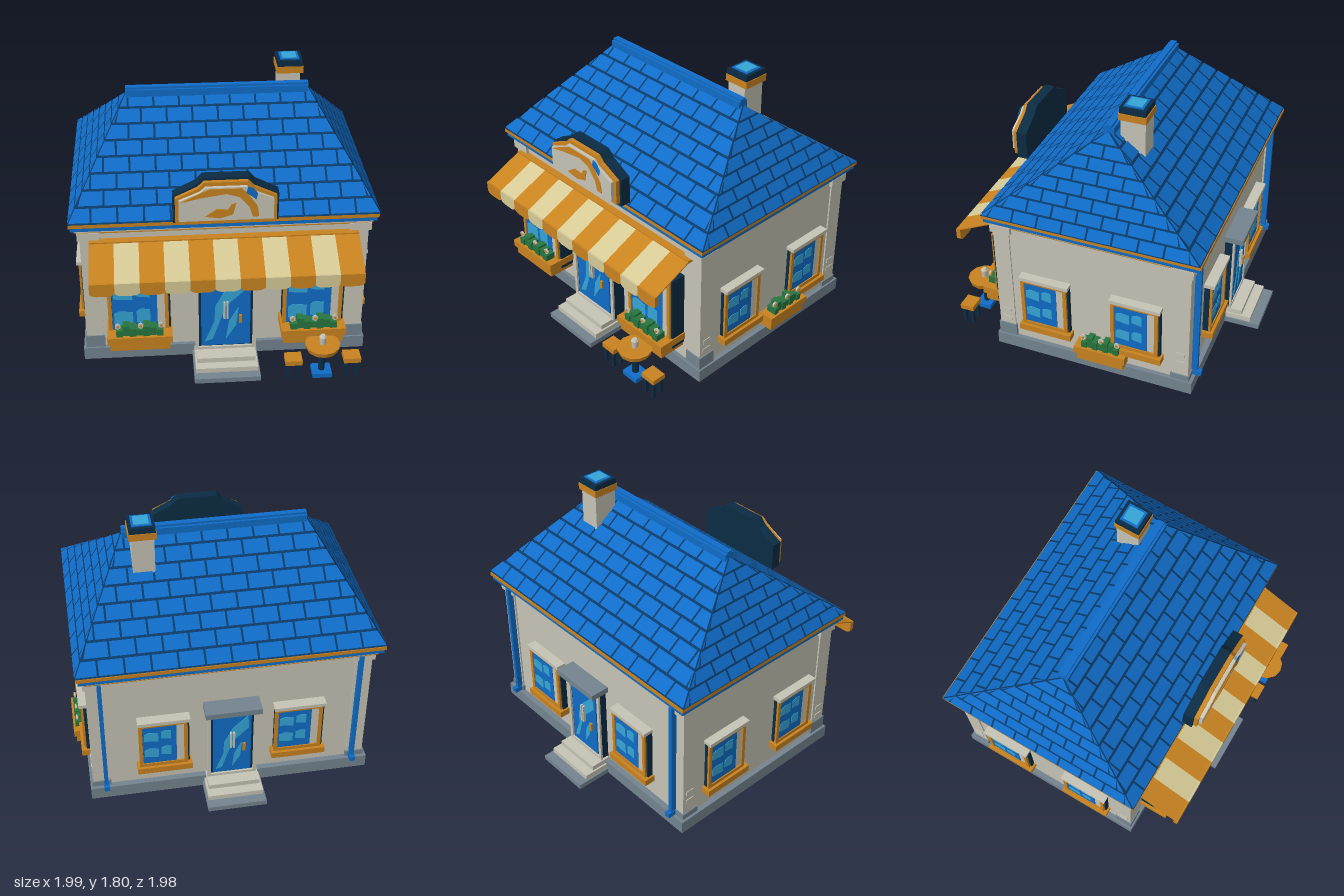
import * as THREE from 'three';
import { ConvexGeometry } from 'three/addons/geometries/ConvexGeometry.js';

const mat = (name, color) => Object.assign(new THREE.MeshStandardMaterial({ color }), { name });
const M = {
  wall: mat('plaster cream', 0xc6c4b5),
  cream: mat('awning cream', 0xd6ca96),
  orange: mat('ochre wood', 0xc98320),
  blue: mat('bright blue', 0x0f6cc8),
  gap: mat('tile gap blue', 0x0a3a68),
  navy: mat('dark navy', 0x0b2c44),
  glint: mat('glass highlight', 0x35a5d6),
  stone: mat('grey stone', 0x74848f),
  green: mat('leaf green', 0x27753f),
};

function add(parent, name, geo, material, x = 0, y = 0, z = 0) {
  const m = new THREE.Mesh(geo, material);
  m.name = name;
  m.position.set(x, y, z);
  parent.add(m);
  return m;
}
// Box given by its two limits on each axis
const box = (p, name, material, x0, x1, y0, y1, z0, z1) =>
  add(p, name, new THREE.BoxGeometry(x1 - x0, y1 - y0, z1 - z0), material, (x0 + x1) / 2, (y0 + y1) / 2, (z0 + z1) / 2);
const shapeOf = (pts) => new THREE.Shape(pts.map(([x, y]) => new THREE.Vector2(x, y)));
const plate = (p, name, material, pts, z, depth = 0.004) =>
  add(p, name, new THREE.ExtrudeGeometry(shapeOf(pts), { depth, bevelEnabled: false }), material, 0, 0, z);
function group(parent, name, x = 0, y = 0, z = 0, turn = 0) {
  const g = new THREE.Group();
  g.name = name;
  g.position.set(x, y, z);
  g.rotation.y = turn;
  parent.add(g);
  return g;
}
// Rectangular frame with a rectangular opening
function frame(p, name, material, x0, x1, y0, y1, t, z, depth) {
  const s = shapeOf([[x0, y0], [x1, y0], [x1, y1], [x0, y1]]);
  s.holes.push(shapeOf([[x0 + t, y0 + t], [x0 + t, y1 - t], [x1 - t, y1 - t], [x1 - t, y0 + t]]));
  add(p, name, new THREE.ExtrudeGeometry(s, { depth, bevelEnabled: false }), material, 0, 0, z);
}

// Window on a wall: local +z points out of the wall
function windowUnit(parent, name, x, z, turn, w, y0, y1, d, trim) {
  const g = group(parent, name, x, 0, z, turn), h = w / 2;
  box(g, 'casing', M.navy, -h + 0.005, h, y0, y1, 0, d);
  frame(g, 'frame', M.orange, -h, h - 0.012, y0, y1, 0.024, d, 0.016);
  box(g, 'reveal', M.wall, h - 0.09, h - 0.036, y0 + 0.02, y1 - 0.02, d, d + 0.006);
  const a = -h + 0.026, b = h - 0.085, gw = b - a, gh = y1 - y0;
  box(g, 'glass', M.blue, a, b, y0 + 0.02, y1 - 0.02, d, d + 0.009);
  for (const v of [0.2, 0.58]) {
    for (const [u0, u1, k] of [[0.04, 0.46, 0], [0.54, 0.84, 0.03]]) {
      const l = a + u0 * gw, r = a + u1 * gw, q = y0 + (v + k) * gh;
      plate(g, 'glassHighlight', M.glint,
        [[l, q + 0.01], [r, q], [r, q + 0.2 * gh], [l + 0.03, q + 0.22 * gh], [l, q + 0.18 * gh]], d + 0.009, 0.003);
    }
  }
  if (trim) {
    box(g, 'lintel', M.wall, -h - 0.005, h + 0.005, y1, y1 + 0.025, 0, d + 0.03);
    box(g, 'sill', M.orange, -h - 0.015, h + 0.015, y0 - 0.045, y0, 0, d + 0.035);
  }
}

// Flower box with leaves and blossoms
function planter(parent, x, y, z, turn, w, d) {
  const g = group(parent, 'planter', x, y, z, turn), h = w / 2;
  box(g, 'planterBody', M.orange, -h + 0.015, h - 0.015, 0, 0.07, 0, d - 0.015);
  box(g, 'planterRim', M.orange, -h, h, 0.06, 0.11, 0, d);
  const n = 7, span = w * 0.72;
  for (let i = 0; i < n; i++) {
    const px = -span / 2 + span * (i + 0.5) / n, top = 0.045 + 0.03 * ((i * 2) % 3) / 2;
    box(g, 'leaves', M.green, px - span / n / 2, px + span / n / 2, 0.1, 0.11 + top, d - 0.085, d - 0.015 - 0.01 * (i % 2));
  }
  for (const u of [-0.33, 0.02, 0.33]) {
    const f = group(g, 'flower', u * w, 0.185, d - 0.03);
    add(f, 'petals', new THREE.CylinderGeometry(0.021, 0.021, 0.012, 6).rotateX(Math.PI / 2), M.wall);
    add(f, 'flowerCentre', new THREE.CylinderGeometry(0.009, 0.009, 0.02, 6).rotateX(Math.PI / 2), M.orange);
  }
}

// Door with frame, streaked glass and handles
function door(parent, name, x, z, turn, w, top, d) {
  const g = group(parent, name, x, 0, z, turn), h = w / 2;
  box(g, 'doorCasing', M.navy, -h - 0.02, h + 0.02, 0.09, top, 0, d);
  frame(g, 'doorFrame', M.wall, -h - 0.03, h + 0.03, 0.1, top, 0.024, d, 0.014);
  box(g, 'doorLeaf', M.blue, -h + 0.01, h - 0.01, 0.135, top - 0.03, d, d + 0.01);
  const H = top - 0.16, q = (u, v) => [u * w, 0.14 + v * H];
  plate(g, 'glassHighlight', M.glint, [q(-0.4, 0.05), q(-0.25, 0.08), q(0, 0.5), q(0.4, 0.72), q(0.38, 0.92), q(0, 0.72), q(-0.2, 0.5), q(-0.22, 0.3)], d + 0.01);
  plate(g, 'glassHighlight', M.glint, [q(0, 0.07), q(0.2, 0.25), q(0.24, 0.48), q(0.06, 0.3)], d + 0.01);
  for (const s of [-0.017, 0.003]) box(g, 'doorHandle', M.wall, s, s + 0.012, 0.36, 0.49, d, d + 0.03);
  box(g, 'doorLatch', M.orange, h * 0.5, h * 0.5 + 0.02, 0.32, 0.38, d, d + 0.025);
}

// Rows of staggered tiles on a sloping face; corners run left to right seen from outside
function tiles(parent, el, er, rl, rr) {
  const [A, B, C, D] = [el, er, rl, rr].map((p) => new THREE.Vector3(...p));
  const dir = B.clone().sub(A).normalize(), along = (P) => P.clone().sub(A).dot(dir);
  const up = C.clone().sub(A).addScaledVector(dir, -along(C));
  const n = dir.clone().cross(up).normalize().multiplyScalar(0.008);
  const L = along(B), cl = along(C), cr = along(D), pos = [], rows = 8, step = 0.165;
  const at = (s, v) => A.clone().addScaledVector(dir, THREE.MathUtils.clamp(s, cl * v, L + (cr - L) * v)).addScaledVector(up, v).add(n);
  for (let r = 0; r < rows; r++) {
    const v0 = (r + 0.08) / rows, v1 = (r + 0.93) / rows;
    for (let s = L / 2 - step * (8 + 0.5 * (r % 2)); s < L; s += step) {
      const e = s + step - 0.013;
      const a = at(s, v0), b = at(e, v0), c = at(e, v1), d = at(s, v1);
      if (a.distanceTo(b) + c.distanceTo(d) < 0.002) continue;
      for (const p of [a, b, c, a, c, d]) pos.push(p.x, p.y, p.z);
    }
  }
  const geo = new THREE.BufferGeometry();
  geo.setAttribute('position', new THREE.Float32BufferAttribute(pos, 3));
  geo.computeVertexNormals();
  add(parent, 'roofTiles', geo, M.blue);
}

export function createModel() {
  const root = new THREE.Group();
  root.name = 'cafe';
  const cx = -0.015;

  // Walls, plinth and corner pilasters
  box(root, 'plinth', M.stone, -0.955, 0.92, 0, 0.09, -0.75, 0.62);
  box(root, 'walls', M.wall, -0.92, 0.89, 0.09, 1.0, -0.71, 0.595);
  for (const sx of [-1, 1]) for (const [z, sz] of [[0.545, 1], [-0.665, -1]]) {
    const x = cx + sx * 0.86;
    box(root, 'pilaster', M.wall, x - 0.055, x + 0.055, 0.09, 0.99, z - 0.055, z + 0.055);
    box(root, 'pilasterFoot', M.stone, x - 0.063, x + 0.063, 0.09, sz > 0 ? 0.18 : 0.13, z - 0.063, z + 0.063);
    box(root, 'pilasterCapital', M.wall, x - 0.07, x + 0.07, 0.935, 0.99, z - 0.07, z + 0.07);
    for (const y of [0.21, 0.28]) box(root, 'cornerBlock', M.wall, x - 0.06, x + 0.06, y, y + 0.03, z - 0.03, z + 0.03);
  }

  // Cornice and eaves layers
  const layers = [[0.93, 0.985, 1.0, M.orange], [0.94, 1.0, 1.02, M.wall], [0.96, 1.02, 1.05, M.blue], [0.97, 1.05, 1.075, M.orange]];
  for (const [h, y0, y1, m] of layers) box(root, 'eavesLayer', m, -0.02 - h, -0.02 + h, y0, y1, -0.07 - (h - 0.25), -0.07 + (h - 0.25));

  // Hipped roof with tiles and ridge
  const y = 1.075, t = 1.625, zr = -0.065;
  const fl = [-0.99, y, 0.65], fr = [0.955, y, 0.65], bl = [-0.99, y, -0.785], br = [0.955, y, -0.785];
  const rl = [-0.61, t, zr], rr = [0.575, t, zr];
  add(root, 'roofCore', new ConvexGeometry([fl, fr, bl, br, rl, rr].map((p) => new THREE.Vector3(...p))), M.gap);
  tiles(root, fl, fr, rl, rr);
  tiles(root, br, bl, rr, rl);
  tiles(root, fr, br, rr, rr);
  tiles(root, bl, fl, rl, rl);
  box(root, 'ridgeCap', M.blue, -0.615, 0.575, 1.605, 1.655, -0.1, -0.03);
  box(root, 'ridgeTop', M.blue, -0.615, 0.575, 1.655, 1.67, -0.085, -0.045);

  // Chimney
  box(root, 'chimney', M.wall, 0.39, 0.53, 1.35, 1.71, -0.285, -0.125);
  box(root, 'chimneyCollar', M.orange, 0.375, 0.55, 1.705, 1.75, -0.295, -0.115);
  box(root, 'chimneyCap', M.navy, 0.38, 0.545, 1.75, 1.79, -0.29, -0.12);
  box(root, 'chimneyTop', M.blue, 0.4, 0.525, 1.79, 1.796, -0.268, -0.142);
  box(root, 'chimneyTopInset', M.glint, 0.415, 0.51, 1.796, 1.8, -0.255, -0.155);

  // Sign board in three stepped layers with a painted arch
  const sign = group(root, 'signBoard', -0.02, 1.1, 0);
  const half = [[0.325, 0], [0.325, 0.19], [0.18, 0.265], [0.14, 0.31]];
  const outline = [...half, ...half.map(([x, v]) => [-x, v]).reverse()];
  const inset = (sx, sy, dy) => outline.map(([x, v]) => [x * sx, v * sy + dy]);
  plate(sign, 'signBack', M.navy, outline, 0.635, 0.07);
  plate(sign, 'signFrame', M.orange, inset(0.955, 0.89, 0.017), 0.705, 0.028);
  plate(sign, 'signPanel', M.wall, inset(0.89, 0.74, 0.038), 0.733, 0.022);
  plate(sign, 'paintedArch', M.orange, [[-0.28, 0.172], [-0.16, 0.2], [0, 0.225], [0.08, 0.2], [0.14, 0.13], [0.16, 0.06], [0.2, 0.06], [0.19, 0.13], [0.13, 0.22], [0.09, 0.26], [-0.1, 0.26], [-0.16, 0.235]], 0.755);
  plate(sign, 'paintedPastry', M.orange, [[-0.13, 0.07], [-0.04, 0.055], [0.04, 0.08], [0.06, 0.16], [0.03, 0.15], [0.01, 0.115], [-0.06, 0.12]], 0.755);
  plate(sign, 'paintedPatch', M.blue, [[0.12, 0.23], [0.18, 0.18], [0.19, 0.22], [0.16, 0.26], [0.13, 0.27]], 0.755);

  // Striped awning with scalloped valance
  const awning = group(root, 'awning'), n = 11, sw = 1.7 / n;
  for (let i = 0; i < n; i++) {
    const x0 = -0.87 + i * sw, m = i % 2 ? M.cream : M.orange;
    const slope = add(awning, 'awningStripe', new THREE.BoxGeometry(sw, 0.008, 0.3), m, x0 + sw / 2, 0.868, 0.768);
    slope.rotation.x = Math.atan2(0.125, 0.27);
    const e = sw, s = shapeOf([[0, 0.81], [0, 0.74]]);
    s.quadraticCurveTo(e * 0.1, 0.72, e * 0.3, 0.72);
    s.lineTo(e * 0.7, 0.72);
    s.quadraticCurveTo(e * 0.9, 0.72, e, 0.74);
    s.lineTo(e, 0.81);
    add(awning, 'valanceStripe', new THREE.ExtrudeGeometry(s, { depth: 0.03, bevelEnabled: false }), m, x0, 0, 0.885);
  }
  box(awning, 'awningRail', M.orange, -0.87, 0.83, 0.92, 0.938, 0.59, 0.645);

  // Windows on all four sides
  const P = Math.PI;
  for (const x of [-0.575, 0.55]) {
    windowUnit(root, 'frontWindow', x, 0.595, 0, 0.4, 0.22, 0.76, 0.1, false);
    planter(root, x - 0.002, 0.19, 0.595, 0, 0.42, 0.205);
  }
  for (const z of [0.25, -0.37]) {
    windowUnit(root, 'rightSideWindow', 0.89, z, P / 2, 0.33, 0.255, 0.62, 0.03, true);
    windowUnit(root, 'leftSideWindow', -0.92, z, -P / 2, 0.33, 0.255, 0.62, 0.03, true);
  }
  for (const x of [-0.465, 0.425]) windowUnit(root, 'backWindow', x, -0.71, P, 0.33, 0.255, 0.62, 0.04, true);
  planter(root, 0.89, 0.11, -0.145, P / 2, 0.35, 0.105);

  // Doors, canopy and steps
  door(root, 'frontDoor', -0.018, 0.595, 0, 0.34, 0.78, 0.095);
  door(root, 'backDoor', -0.018, -0.71, P, 0.27, 0.68, 0.055);
  box(root, 'backCanopy', M.stone, -0.2, 0.165, 0.675, 0.715, -0.84, -0.71);
  for (let i = 0; i < 3; i++) {
    const m = i ? M.wall : M.stone, y0 = i * 0.035, w = 0.215 - i * 0.012;
    box(root, 'frontStep', m, -0.02 - w, -0.02 + w, y0, y0 + 0.035, 0.6, 0.92 - i * 0.06);
    box(root, 'backStep', m, -0.02 - w + 0.02, -0.02 + w - 0.02, y0, y0 + 0.035, -0.99 + i * 0.065, -0.72);
  }

  // Rear downpipes
  for (const x of [-0.85, 0.815]) {
    box(root, 'downpipe', M.blue, x - 0.013, x + 0.013, 0.1, 0.985, -0.76, -0.72);
    box(root, 'pipeFoot', M.blue, x - 0.018, x + 0.018, 0.09, 0.125, -0.785, -0.72);
  }

  // Terrace table, cup and stools
  const table = group(root, 'terraceTable', 0.595, 0, 0.875);
  add(table, 'tableTop', new THREE.CylinderGeometry(0.115, 0.105, 0.035, 12), M.orange, 0, 0.23, 0);
  add(table, 'tableLeg', new THREE.CylinderGeometry(0.022, 0.022, 0.19, 8), M.navy, 0, 0.125, 0);
  box(table, 'tableFoot', M.blue, -0.063, 0.063, 0.008, 0.04, -0.055, 0.055);
  add(table, 'cup', new THREE.CylinderGeometry(0.025, 0.02, 0.055, 8), M.wall, 0, 0.275, 0);
  add(table, 'cupLid', new THREE.CylinderGeometry(0.014, 0.024, 0.015, 8), M.wall, 0, 0.31, 0);
  for (const x of [0.405, 0.785]) {
    const stool = group(root, 'stool', x, 0, 0.895);
    box(stool, 'stoolSeat', M.orange, -0.055, 0.055, 0.13, 0.165, -0.048, 0.048);
    for (const sx of [-0.035, 0.035]) for (const sz of [-0.03, 0.03])
      box(stool, 'stoolLeg', M.navy, sx - 0.01, sx + 0.01, 0.01, 0.13, sz - 0.01, sz + 0.01);
  }
  return root;
}
